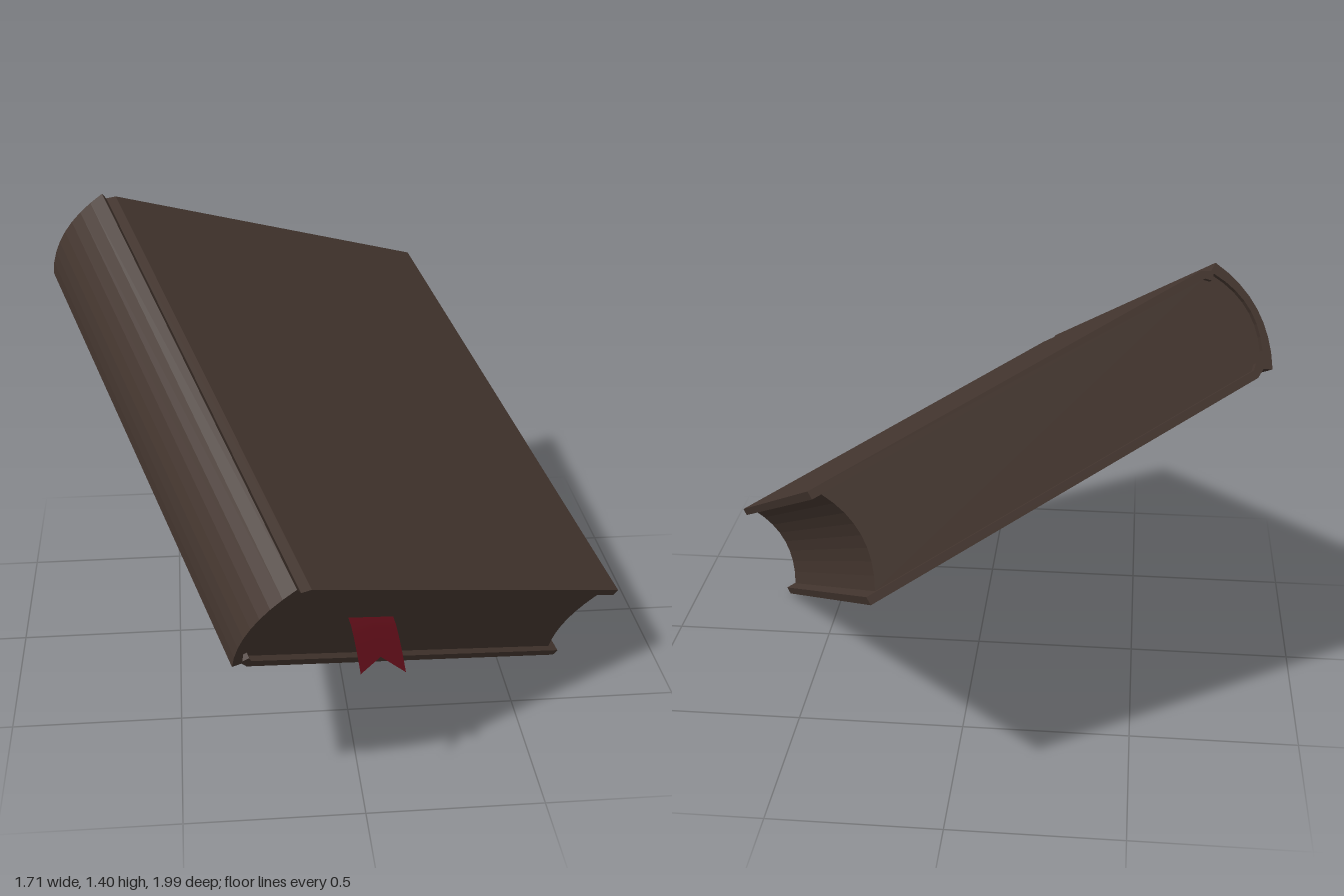
import * as THREE from 'three';

const W = 0.65, T = 0.168, L = 0.757; // half width, thickness and length
const BOARD = 0.024, BULGE = 0.045, INSET = 0.018;

// Points of a shallow arc from (x, h) to (x, -h), displaced by depth in x
function arc(x, h, depth, n = 8) {
  const pts = [];
  for (let i = 0; i <= n; i++) {
    const s = 1 - (2 * i) / n;
    pts.push([x + depth * (1 - s * s), h * s]);
  }
  return pts;
}

// Board edge, joint groove and rounded spine, running from top to bottom
function caseProfile(h, x, grooveX) {
  const top = [[-0.6, h], [grooveX, h - 0.014]];
  const bottom = top.map(([px, py]) => [px, -py]).reverse();
  return [...top, ...arc(x, h, -BULGE), ...bottom];
}

function extrude(points, halfLength) {
  const shape = new THREE.Shape(points.map(([x, y]) => new THREE.Vector2(x, y)));
  const geo = new THREE.ExtrudeGeometry(shape, { depth: 2 * halfLength, bevelEnabled: false });
  return geo.translate(0, 0, -halfLength);
}

function addMesh(parent, name, geometry, color, side = THREE.FrontSide) {
  const material = new THREE.MeshStandardMaterial({ color, side });
  const mesh = new THREE.Mesh(geometry, material);
  mesh.name = name;
  parent.add(mesh);
}

export function createModel() {
  const model = new THREE.Group();
  const book = new THREE.Group();
  book.name = 'book';
  model.add(book);

  // Cover: two boards joined by a rounded spine
  const outer = caseProfile(T, -W, -0.627);
  const inner = caseProfile(T - BOARD, -W + 0.02, -0.615);
  const cover = [[W, T], ...outer, [W, -T], [W, -T + BOARD], ...[...inner].reverse(), [W, T - BOARD]];
  addMesh(book, 'cover', extrude(cover, L), 0x44362f);

  // Page block: follows the spine, with a hollow fore edge
  const foreEdge = arc(W - 0.03, T - BOARD, -0.04).reverse();
  addMesh(book, 'pageBlock', extrude([...inner, ...foreEdge], L - INSET), 0x44362f);

  // Ribbon bookmark: drooping strip with a swallowtail end
  const ribbon = new THREE.PlaneGeometry(0.17, 1, 2, 6);
  const pos = ribbon.attributes.position;
  for (let i = 0; i < pos.count; i++) {
    const x = pos.getX(i), s = 0.5 - pos.getY(i);
    const end = Math.abs(x) < 0.01 ? 0.848 : 0.89;
    const z = THREE.MathUtils.lerp(0.7, end, s);
    const d = Math.max(0, (z - 0.74) / 0.15);
    pos.setXYZ(i, x - 0.274, 0.024 - 0.054 * Math.pow(d, 1.2), z);
  }
  ribbon.computeVertexNormals();
  addMesh(book, 'ribbonBookmark', ribbon, 0x640f1a, THREE.DoubleSide);

  // Tilt the whole book, resting on one corner
  const along = new THREE.Vector3(0.33, -0.456, 0.826).normalize();
  const across = new THREE.Vector3(0.798, -0.338, -0.499);
  const up = new THREE.Vector3().crossVectors(along, across).normalize();
  across.crossVectors(up, along);
  book.quaternion.setFromRotationMatrix(new THREE.Matrix4().makeBasis(across, up, along));
  book.position.y = 0.706;
  return model;
}
